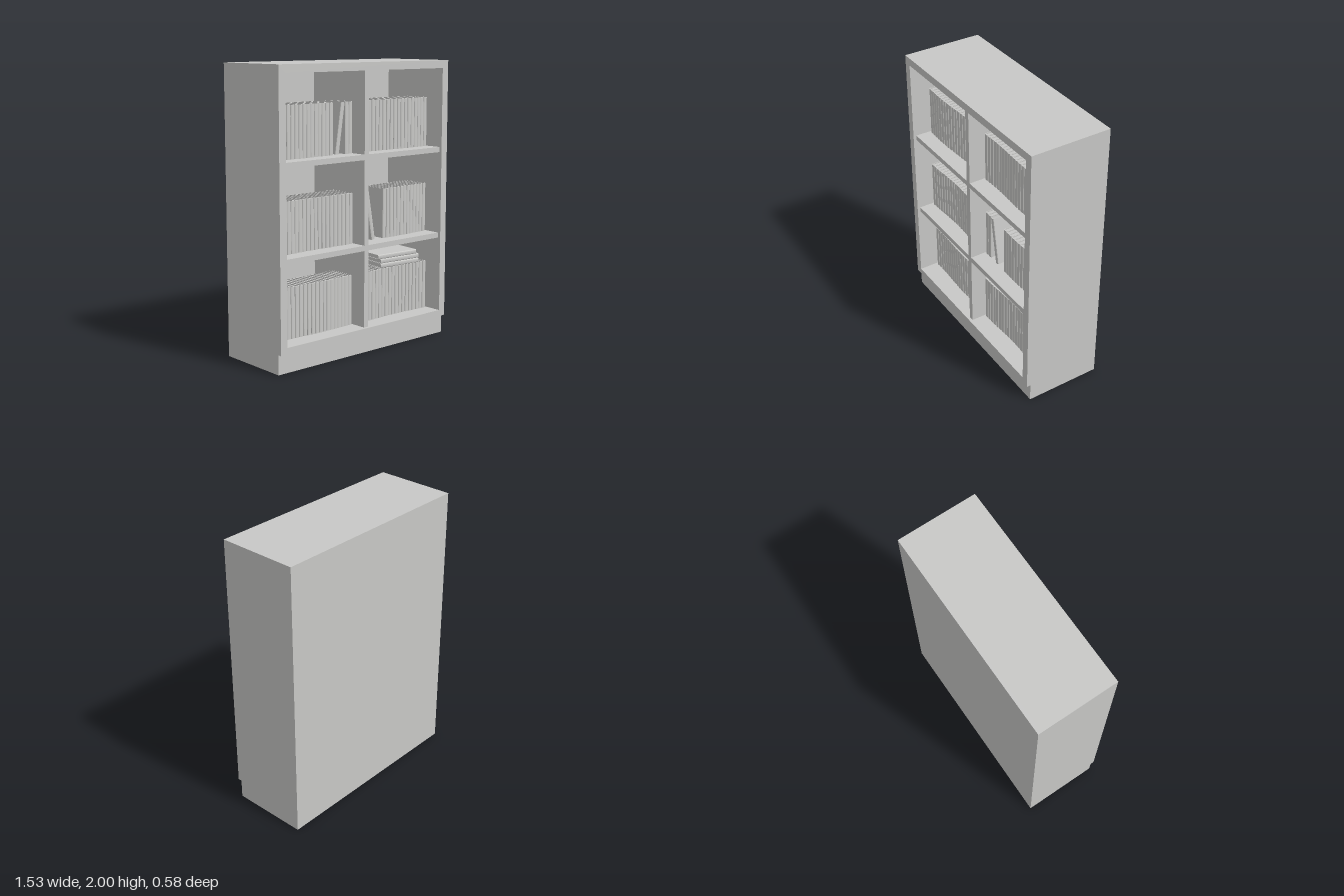
import * as THREE from 'three';

const grey = new THREE.MeshStandardMaterial({ color: 0xc8c8c6 });
grey.name = 'light grey';

const BOOK = { w: 0.0325, h: 0.353, d: 0.21, cover: 0.004 };
const PITCH = 0.0337;
const BOOK_Z = 0.155;

// Box given by its min and max corners
function block(name, [x0, y0, z0], [x1, y1, z1]) {
  const mesh = new THREE.Mesh(new THREE.BoxGeometry(x1 - x0, y1 - y0, z1 - z0), grey);
  mesh.position.set((x0 + x1) / 2, (y0 + y1) / 2, (z0 + z1) / 2);
  mesh.name = name;
  return mesh;
}

// Wrap-around cover with a rounded spine, standing on y = 0, spine towards +z
function makeCoverGeometry() {
  const r = BOOK.w / 2, c = BOOK.cover, d = BOOK.d;
  const s = new THREE.Shape();
  s.moveTo(-r, d);
  s.lineTo(-r, 0.007);
  s.quadraticCurveTo(-r, 0, 0, 0);
  s.quadraticCurveTo(r, 0, r, 0.007);
  s.lineTo(r, d);
  s.lineTo(r - c, d);
  s.lineTo(r - c, 0.01);
  s.lineTo(-r + c, 0.01);
  s.lineTo(-r + c, d);
  s.closePath();
  const g = new THREE.ExtrudeGeometry(s, { depth: BOOK.h, bevelEnabled: false, curveSegments: 4 });
  return g.rotateX(-Math.PI / 2);
}

const coverGeometry = makeCoverGeometry();
const pagesGeometry = new THREE.BoxGeometry(BOOK.w - 2 * BOOK.cover, BOOK.h - 0.014, BOOK.d - 0.018)
  .translate(0, BOOK.h / 2, -(BOOK.d + 0.002) / 2);

function makeBook(name) {
  const book = new THREE.Group();
  book.name = name;
  const cover = new THREE.Mesh(coverGeometry, grey);
  cover.name = 'bookCover';
  const pages = new THREE.Mesh(pagesGeometry, grey);
  pages.name = 'bookPages';
  book.add(cover, pages);
  return book;
}

// Upright books side by side, each pushed in by a slightly different amount
function bookRow(name, x, y, count) {
  const row = new THREE.Group();
  row.name = name;
  for (let i = 0; i < count; i++) {
    const book = makeBook('book');
    const jitter = 0.006 * Math.sin(i * 12.9 + y * 7 + x * 5);
    book.position.set(x + PITCH * (i + 0.5), y, BOOK_Z + jitter);
    row.add(book);
  }
  return row;
}

export function createModel() {
  const model = new THREE.Group();
  model.name = 'bookcase';

  const W = 0.765, D = 0.29, IN = 0.71, FLOOR = 0.18, TOP = 1.945;
  const BACK = -0.26, INSET = 0.268, DIV = 0.0185;

  // Outer frame: one rectangle with a rectangular opening
  const frameShape = new THREE.Shape([
    new THREE.Vector2(-W, 0.135), new THREE.Vector2(W, 0.135),
    new THREE.Vector2(W, 2), new THREE.Vector2(-W, 2),
  ]);
  frameShape.holes.push(new THREE.Path([
    new THREE.Vector2(-IN, FLOOR), new THREE.Vector2(-IN, TOP),
    new THREE.Vector2(IN, TOP), new THREE.Vector2(IN, FLOOR),
  ]));
  const frame = new THREE.Mesh(
    new THREE.ExtrudeGeometry(frameShape, { depth: D - BACK, bevelEnabled: false }), grey);
  frame.position.z = BACK;
  frame.name = 'caseFrame';
  model.add(frame);

  // Back panel, recessed plinth and central divider
  model.add(block('backPanel', [-W, 0.135, -D], [W, 2, BACK]));
  model.add(block('plinth', [-W, 0, -D], [W, 0.135, 0.262]));
  model.add(block('divider', [-DIV, FLOOR, BACK], [DIV, TOP, INSET]));

  // Shelves on both sides of the divider
  for (const y of [0.757, 1.382]) {
    model.add(block('rightShelf', [-IN, y - 0.037, BACK], [-DIV, y, INSET]));
    model.add(block('leftShelf', [DIV, y - 0.037, BACK], [IN, y, INSET]));
  }

  // Rows of books: start x, shelf height, count
  const L = -0.7, R = 0.025;
  const rows = [
    [L, 1.382, 15], [L + 18 * PITCH, 1.382, 2], [R, 1.382, 20],
    [L, 0.757, 20], [R, 0.757, 2], [R + 7 * PITCH, 0.757, 13],
    [L, FLOOR, 20], [R, FLOOR, 20],
  ];
  for (const [x, y, n] of rows) model.add(bookRow('bookRow', x, y, n));

  // Leaning books: x at the foot, shelf height, tilt
  for (const [x, y, tilt] of [[-0.164, 1.384, -0.152], [0.173, 0.76, 0.172]]) {
    const book = makeBook('leaningBook');
    book.position.set(x, y, BOOK_Z);
    book.rotation.z = tilt;
    model.add(book);
  }

  // Stack of books lying on the lower row, slightly turned
  for (const [x, y] of [[0.265, 0.55], [0.265, 0.5835], [0.24, 0.617]]) {
    const book = makeBook('lyingBook');
    book.rotation.z = -Math.PI / 2;
    const turn = new THREE.Group();
    turn.name = 'stackedBook';
    turn.position.set(x, y, BOOK_Z - 0.02);
    turn.rotation.y = -0.085;
    turn.add(book);
    model.add(turn);
  }

  return model;
}
